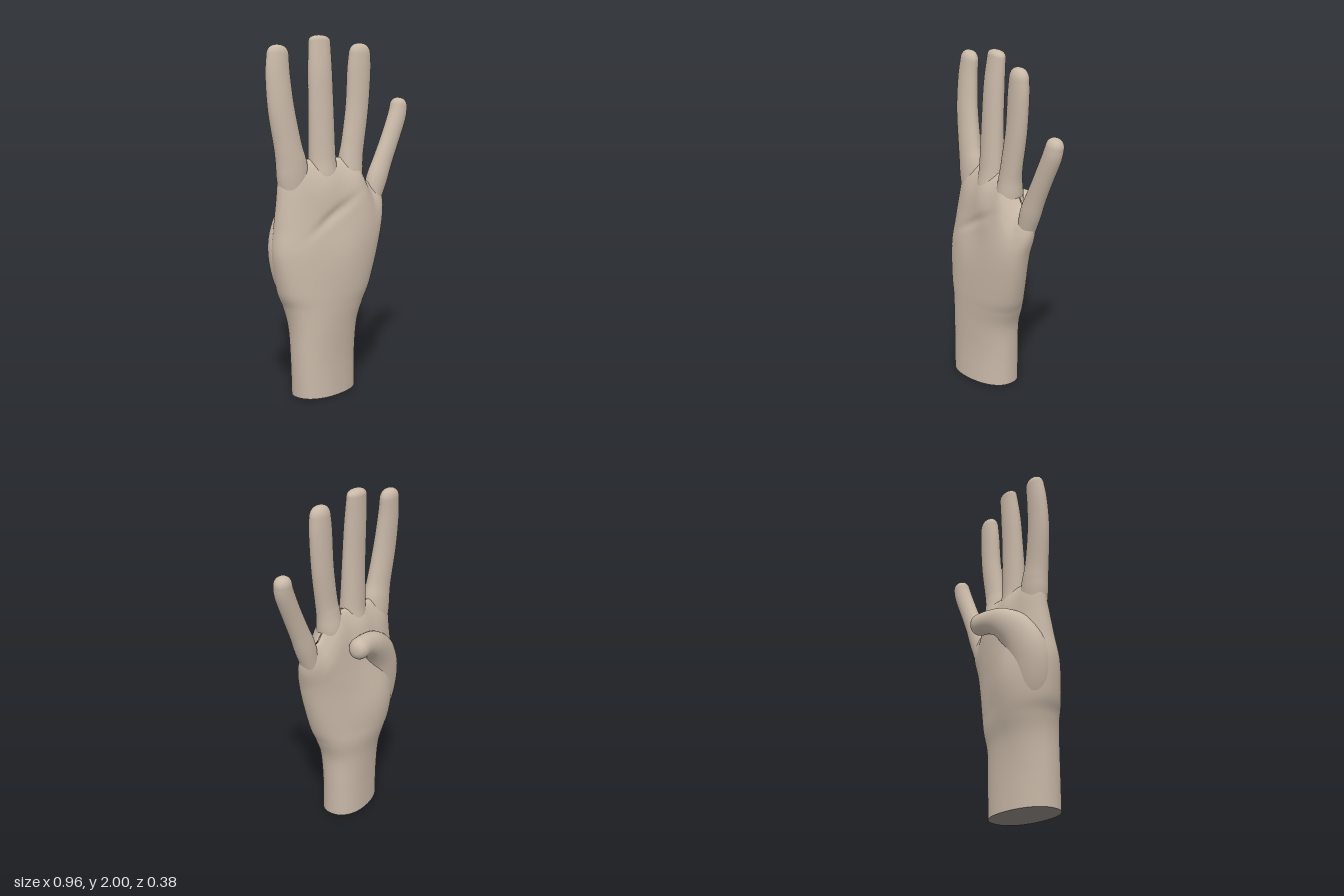
import * as THREE from 'three';

const SIDES = 40;
const skinMat = new THREE.MeshStandardMaterial({ color: 0xc8b8a7 });
const cutMat = new THREE.MeshStandardMaterial({ color: 0x8a8580 });
const across = new THREE.Vector3(-0.18, 0, 1).normalize(); // the hand's slab is turned slightly
const knuckles = [-0.33, -0.134, 0.05, 0.225]; // x of each finger's root
const { smoothstep } = THREE.MathUtils;
const bell = (v, centre, width) => Math.exp(-(((v - centre) / width) ** 2));

// Joins closed rings of points into one smooth surface.
function skin(rings) {
  const n = rings[0].length, index = [];
  for (let i = 0; i < rings.length - 1; i++) {
    for (let j = 0; j < n; j++) {
      const a = i * n + j, b = i * n + (j + 1) % n;
      index.push(a, a + n, b, b, a + n, b + n);
    }
  }
  const g = new THREE.BufferGeometry().setFromPoints(rings.flat());
  g.setIndex(index);
  g.computeVertexNormals();
  return g;
}

// Smoothly interpolates rows of numbers at t in 0..1.
function sampleRows(rows, t) {
  const f = t * (rows.length - 1), i = Math.min(Math.floor(f), rows.length - 2), u = f - i;
  const at = k => rows[Math.max(0, Math.min(rows.length - 1, k))];
  return rows[0].map((_, c) => {
    const p0 = at(i - 1)[c], p1 = at(i)[c], p2 = at(i + 1)[c], p3 = at(i + 2)[c];
    return 0.5 * (2 * p1 + (p2 - p0) * u + (2 * p0 - 5 * p1 + 4 * p2 - p3) * u * u
      + (3 * p1 - p0 - 3 * p2 + p3) * u * u * u);
  });
}

function makeMesh(name, geometry, material = skinMat) {
  const m = new THREE.Mesh(geometry, material);
  m.name = name;
  return m;
}

// Finger: rows of [x, y, z, half width, half depth] and a rounded tip.
function digit(name, rows, tipLength) {
  const rings = [], steps = 44, caps = 10;
  const pos = t => new THREE.Vector3(...sampleRows(rows, t).slice(0, 3));
  const ring = (centre, dir, w, d) => {
    const a = dir.clone().cross(across).normalize(), b = a.clone().cross(dir);
    return Array.from({ length: SIDES }, (_, j) => {
      const q = j / SIDES * Math.PI * 2;
      return centre.clone().addScaledVector(a, w * Math.cos(q)).addScaledVector(b, d * Math.sin(q));
    });
  };
  let dir;
  for (let i = 0; i <= steps; i++) {
    const t = i / steps, row = sampleRows(rows, t);
    dir = pos(Math.min(1, t + 0.01)).sub(pos(Math.max(0, t - 0.01))).normalize();
    rings.push(ring(pos(t), dir, row[3], row[4]));
  }
  const [, , , w, d] = rows[rows.length - 1];
  for (let i = 1; i <= caps; i++) {
    const q = i / caps * Math.PI / 2, s = Math.max(Math.cos(q), 0.0001) ** 0.8;
    rings.push(ring(pos(1).addScaledVector(dir, tipLength * Math.sin(q)), dir, w * s, d * s));
  }
  return makeMesh(name, skin(rings));
}

// Palm cross-section from [y, right x, left x, back z, front z, tilt].
function palmRing([y, x0, x1, z0, z1, tilt]) {
  const cx = (x0 + x1) / 2, cz = (z0 + z1) / 2, hw = (x1 - x0) / 2, hd = (z1 - z0) / 2;
  const round = v => Math.sign(v) * Math.abs(v) ** 0.9;
  return Array.from({ length: SIDES * 2 }, (_, j) => {
    const q = j / SIDES * Math.PI, side = Math.sin(q);
    const dx = hw * round(Math.cos(q)), x = cx + dx;
    let z = cz + hd * round(side) + tilt * dx;
    if (side > 0) {
      // shallow hollow and diagonal crease of the palm
      z -= 0.02 * side * bell(x, -0.17, 0.13) * bell(y, 0.98, 0.16);
      z -= 0.014 * bell(y - 0.6 * (x + 0.15), 1.02, 0.03) * bell(x, -0.15, 0.14);
    } else {
      // thumb mound swelling out of the back
      z += 0.058 * side * bell(x, -0.24, 0.2) * bell(y, 0.72, 0.25);
    }
    // swell towards each finger root
    const swell = knuckles.reduce((sum, k) => sum + bell(x, k, 0.055), 0);
    z += 0.012 * side * swell * smoothstep(y, 1.05, 1.28);
    // the web before the little finger sits lower
    const drop = 0.15 * smoothstep(y, 0.8, 1.3) * smoothstep(x, 0.05, 0.18);
    return new THREE.Vector3(x, y - drop, z);
  });
}

export function createModel() {
  const hand = new THREE.Group();
  hand.name = 'hand';

  // wrist and palm, thinning to a web between the fingers
  const palmRows = [
    [0, -0.38, 0.055, -0.095, 0.178, -0.06],
    [0.2, -0.385, 0.06, -0.095, 0.173, -0.05],
    [0.38, -0.39, 0.07, -0.1, 0.178, -0.01],
    [0.5, -0.41, 0.11, -0.11, 0.183, 0.05],
    [0.6, -0.445, 0.15, -0.108, 0.184, 0.11],
    [0.8, -0.47, 0.205, -0.1, 0.178, 0.16],
    [0.95, -0.45, 0.235, -0.095, 0.166, 0.18],
    [1.1, -0.43, 0.262, -0.085, 0.142, 0.18],
    [1.2, -0.42, 0.272, -0.066, 0.11, 0.18],
    [1.27, -0.405, 0.268, -0.038, 0.072, 0.18],
    [1.31, -0.38, 0.25, -0.012, 0.036, 0.18],
    [1.32, -0.36, 0.23, 0.009, 0.011, 0.18],
  ];
  const rings = Array.from({ length: 111 }, (_, i) => palmRing(sampleRows(palmRows, i / 110)));
  hand.add(makeMesh('palmAndWrist', skin(rings)));

  // flat end of the wrist
  const centre = rings[0].map(() => new THREE.Vector3(-0.16, 0, 0.04));
  hand.add(makeMesh('wristCut', skin([centre, rings[0]]), cutMat));

  // fingers, each rising gradually out of the palm
  hand.add(digit('indexFinger', [
    [-0.3, 1.0, -0.015, 0.08, 0.055],
    [-0.328, 1.2, -0.024, 0.095, 0.067],
    [-0.339, 1.3, -0.026, 0.094, 0.066],
    [-0.36, 1.4, -0.03, 0.084, 0.06],
    [-0.393, 1.6, -0.045, 0.08, 0.055],
    [-0.402, 1.78, -0.06, 0.074, 0.05],
    [-0.395, 1.89, -0.068, 0.067, 0.045],
  ], 0.058));

  hand.add(digit('middleFinger', [
    [-0.135, 1.0, 0.02, 0.075, 0.07],
    [-0.135, 1.2, 0.012, 0.09, 0.08],
    [-0.134, 1.33, 0.008, 0.083, 0.066],
    [-0.133, 1.6, 0, 0.078, 0.056],
    [-0.13, 1.8, -0.01, 0.075, 0.052],
    [-0.122, 1.965, -0.022, 0.069, 0.042],
  ], 0.035));

  hand.add(digit('ringFinger', [
    [0.02, 1.0, 0.045, 0.06, 0.06],
    [0.045, 1.2, 0.043, 0.08, 0.075],
    [0.059, 1.32, 0.047, 0.074, 0.063],
    [0.073, 1.4, 0.05, 0.072, 0.056],
    [0.107, 1.6, 0.05, 0.073, 0.053],
    [0.122, 1.8, 0.05, 0.076, 0.05],
    [0.127, 1.89, 0.05, 0.07, 0.047],
  ], 0.066));

  hand.add(digit('littleFinger', [
    [0.15, 0.85, 0.06, 0.04, 0.035],
    [0.204, 1.04, 0.07, 0.053, 0.048],
    [0.246, 1.17, 0.076, 0.066, 0.055],
    [0.294, 1.28, 0.081, 0.061, 0.051],
    [0.35, 1.4, 0.086, 0.058, 0.05],
    [0.409, 1.53, 0.088, 0.058, 0.05],
    [0.426, 1.59, 0.086, 0.054, 0.048],
  ], 0.052));

  // thumb folded across the back, broad where it leaves the mound
  hand.add(digit('thumb', [
    [-0.24, 0.42, 0.03, 0.06, 0.06],
    [-0.305, 0.62, -0.02, 0.12, 0.1],
    [-0.32, 0.82, -0.052, 0.14, 0.104],
    [-0.272, 0.97, -0.082, 0.12, 0.09],
    [-0.17, 1.075, -0.113, 0.087, 0.07],
    [-0.075, 1.115, -0.122, 0.07, 0.061],
    [0, 1.125, -0.127, 0.064, 0.06],
  ], 0.06));

  return hand;
}
